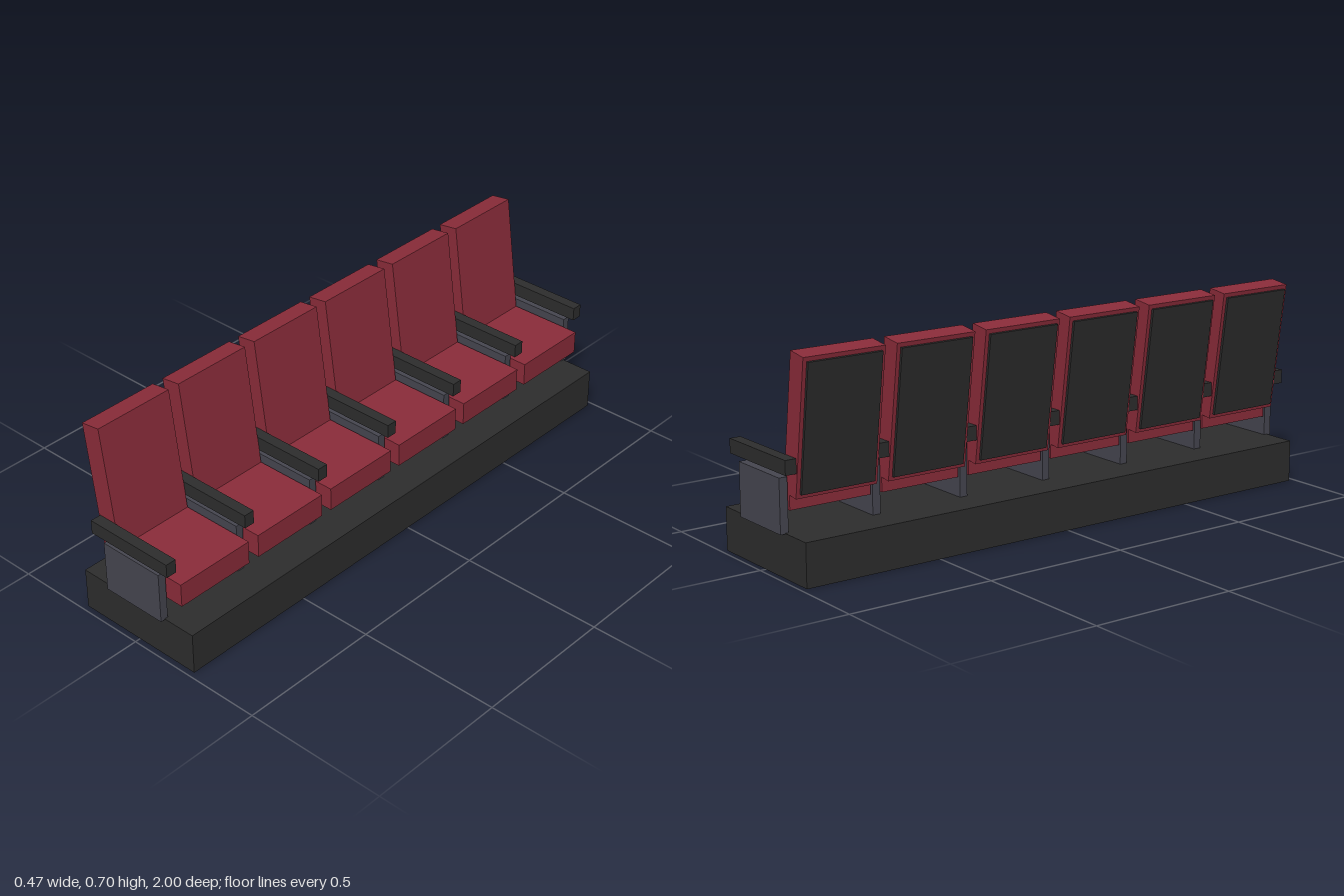
import * as THREE from 'three';

const SEATS = 6;
const PITCH = 0.327;

export function createModel() {
  const group = new THREE.Group();
  group.name = 'seatRow';

  const material = (name, color) => {
    const m = new THREE.MeshStandardMaterial({ color });
    m.name = name;
    return m;
  };
  const red = material('red upholstery', 0x8b2c3a);
  const black = material('black plastic', 0x2d2d2d);
  const grey = material('grey panel', 0x464650);

  const box = (parent, name, mat, size, position) => {
    const mesh = new THREE.Mesh(new THREE.BoxGeometry(...size), mat);
    mesh.name = name;
    mesh.position.set(...position);
    parent.add(mesh);
    return mesh;
  };

  // Platform under the whole row
  box(group, 'platform', black, [0.474, 0.143, 1.96], [0, 0.0715, 0]);

  // Seats, facing +x
  for (let i = 0; i < SEATS; i++) {
    const seat = new THREE.Group();
    seat.name = `seat${i + 1}`;
    seat.position.z = (i - (SEATS - 1) / 2) * PITCH;
    group.add(seat);

    box(seat, 'cushion', red, [0.295, 0.081, 0.286], [0.0295, 0.2505, 0]);

    // Reclined backrest with a thin shell behind it
    const back = new THREE.Group();
    back.name = 'backrest';
    back.position.set(-0.15, 0.4775, 0);
    back.rotation.z = 0.136;
    seat.add(back);
    box(back, 'backCushion', red, [0.071, 0.444, 0.286], [0, 0, 0]);
    box(back, 'backShell', black, [0.009, 0.416, 0.26], [-0.0398, 0, 0]);
  }

  // Dividers with floating armrests between the seats and at both ends
  for (let i = 0; i <= SEATS; i++) {
    const z = (i - SEATS / 2) * PITCH;
    box(group, 'sidePanel', grey, [0.237, 0.176, 0.028], [0, 0.228, z]);
    box(group, 'armrest', black, [0.327, 0.047, 0.038], [-0.001, 0.357, z]);
  }

  return group;
}
